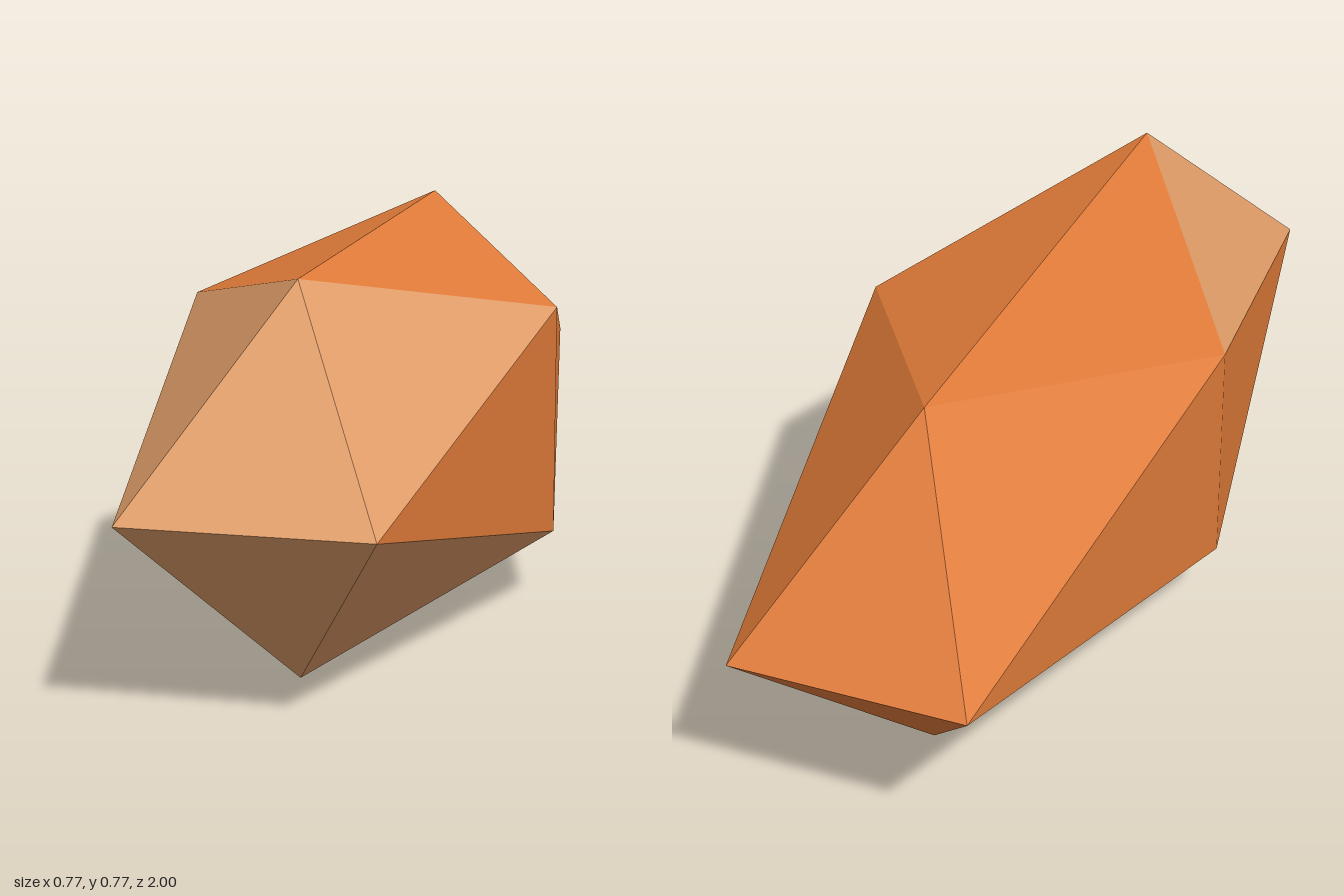
import * as THREE from 'three';

export function createModel() {
  const group = new THREE.Group();
  const orange = new THREE.MeshStandardMaterial({ name: 'orange', color: 0xe07b39 });
  const tan = new THREE.MeshStandardMaterial({ name: 'tan', color: 0xe09d68 });

  // Stretched icosahedron: half sizes 0.385 x 0.385 x 1, standing on its lower edge
  const reach = 0.85065; // extent of a unit icosahedron along each axis
  const half = 0.385;
  const solid = new THREE.IcosahedronGeometry(1, 0);
  solid.rotateY(Math.PI / 2);
  solid.scale(half / reach, half / reach, 1 / reach);
  solid.translate(0, half, 0);

  // The six facets around the front end are tan, the rest orange
  const facets = { front: [], rest: [] };
  const p = solid.attributes.position;
  for (let i = 0; i < p.count; i += 3) {
    const z = (p.getZ(i) + p.getZ(i + 1) + p.getZ(i + 2)) / 3;
    const list = z > 0.45 ? facets.front : facets.rest;
    for (let k = i; k < i + 3; k++) list.push(p.getX(k), p.getY(k), p.getZ(k));
  }

  const addFacets = (name, points, material) => {
    const geometry = new THREE.BufferGeometry();
    geometry.setAttribute('position', new THREE.Float32BufferAttribute(points, 3));
    geometry.computeVertexNormals(); // unshared corners keep the facets flat
    const mesh = new THREE.Mesh(geometry, material);
    mesh.name = name;
    group.add(mesh);
  };
  addFacets('frontTip', facets.front, tan);
  addFacets('crystalBody', facets.rest, orange);

  group.name = 'crystal';
  return group;
}
